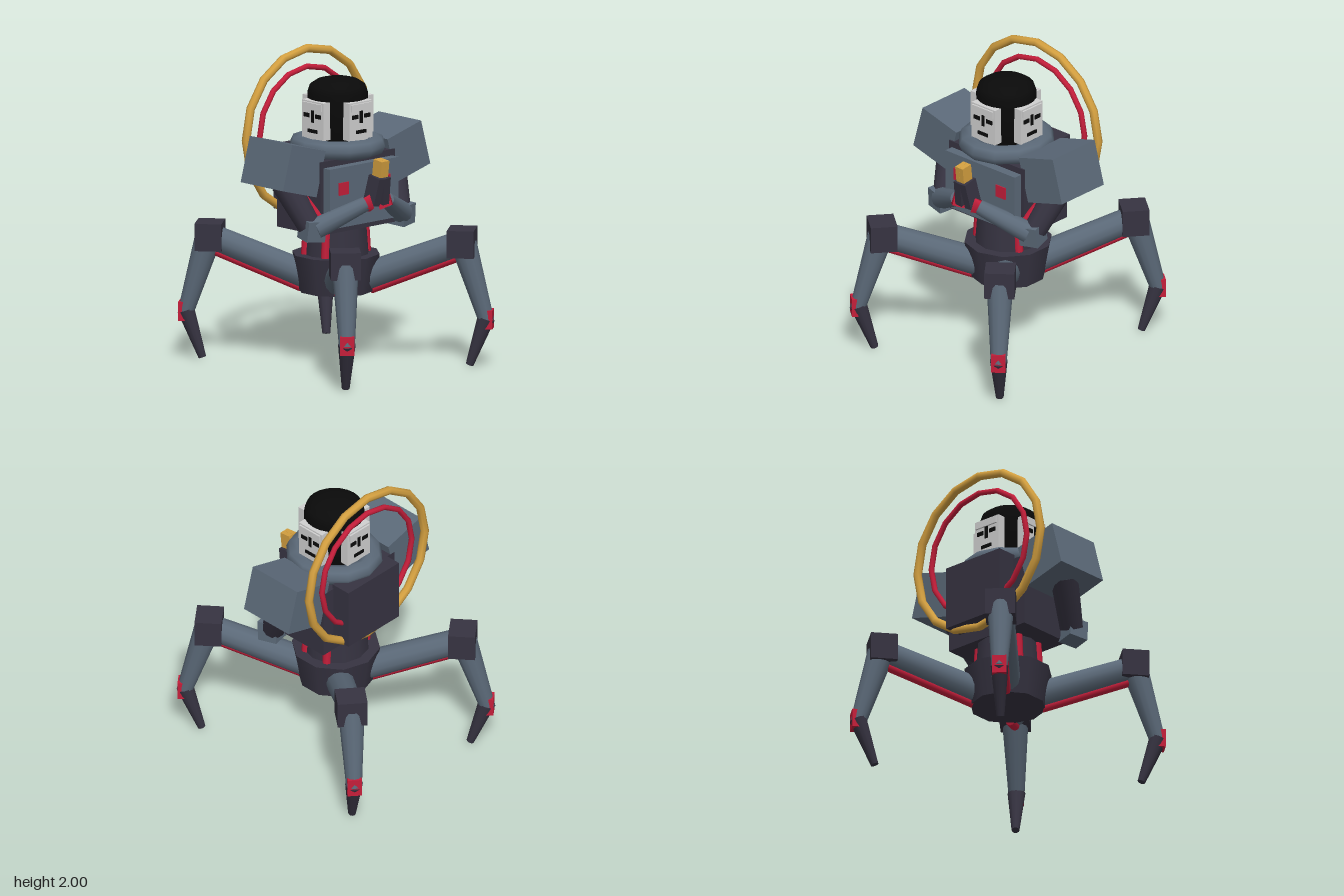
import * as THREE from 'three';

const mat = (name, color) => {
  const m = new THREE.MeshStandardMaterial({ color });
  m.name = name;
  return m;
};

export function createModel() {
  const slate = mat('slate armour', 0x5b6978);
  const dark = mat('dark metal', 0x363341);
  const red = mat('red', 0xc41e3a);
  const gold = mat('gold', 0xd4a040);
  const pale = mat('pale mask', 0xd0d0d0);
  const black = mat('black', 0x0a0a0a);

  const root = new THREE.Group();
  root.name = 'spiderWalker';

  const add = (parent, name, geo, material, pos = [0, 0, 0], rot = [0, 0, 0]) => {
    const m = new THREE.Mesh(geo, material);
    m.name = name;
    m.position.set(...pos);
    m.rotation.set(...rot);
    parent.add(m);
    return m;
  };
  const box = (parent, name, size, material, pos, rot) =>
    add(parent, name, new THREE.BoxGeometry(...size), material, pos, rot);
  // Tapered cylinder running from point a to point b
  const rod = (parent, name, a, b, ra, rb, material, sides = 12) => {
    const va = new THREE.Vector3(...a), vb = new THREE.Vector3(...b);
    const dir = vb.clone().sub(va);
    const m = add(parent, name, new THREE.CylinderGeometry(rb, ra, dir.length(), sides), material);
    m.position.copy(va).add(vb).multiplyScalar(0.5);
    m.quaternion.setFromUnitVectors(new THREE.Vector3(0, 1, 0), dir.normalize());
    return m;
  };

  // Pelvis and waist with four red pistons
  rod(root, 'pelvis', [0, 0.465, 0], [0, 0.705, 0], 0.24, 0.28, dark, 10);
  rod(root, 'waist', [0, 0.7, 0], [0, 0.9, 0], 0.21, 0.195, dark, 12);
  for (const x of [-1, 1]) for (const z of [-1, 1])
    rod(root, 'waistPiston', [x * 0.178, 0.69, z * 0.092], [x * 0.165, 0.9, z * 0.088], 0.028, 0.028, red, 8);

  // Torso, chest plate, backpack
  box(root, 'torso', [0.64, 0.47, 0.4], dark, [0, 1.12, 0]);
  box(root, 'chestPlate', [0.59, 0.385, 0.06], slate, [0, 1.122, 0.23]);
  for (const s of [-1, 1])
    box(root, 'chestLight', [0.08, 0.08, 0.02], red, [s * 0.18, 1.178, 0.258]);
  box(root, 'backpack', [0.455, 0.415, 0.14], dark, [0, 1.177, -0.26]);

  // Collar
  const collar = add(root, 'collar', new THREE.TorusGeometry(0.235, 0.065, 8, 12), slate,
    [0, 1.405, 0.015], [Math.PI / 2, 0, 0]);
  collar.scale.set(1, 1.06, 0.95);

  // Halo rings
  add(root, 'outerHalo', new THREE.TorusGeometry(0.522, 0.027, 8, 16), gold, [0, 1.452, -0.27]);
  add(root, 'innerHalo', new THREE.TorusGeometry(0.405, 0.018, 8, 16), red, [0, 1.452, -0.27]);

  // Head with the same mask on four sides
  const head = new THREE.Group();
  head.name = 'head';
  head.position.set(0, 0, 0.015);
  root.add(head);
  const profile = [[0, 1.38], [0.185, 1.38], [0.19, 1.74], [0.175, 1.785], [0.13, 1.815], [0.07, 1.83], [0, 1.834]];
  add(head, 'hair', new THREE.LatheGeometry(profile.map(p => new THREE.Vector2(...p)), 24), black);
  for (let i = 0; i < 4; i++) {
    const face = new THREE.Group();
    face.name = 'mask';
    face.rotation.y = i * Math.PI / 2;
    head.add(face);
    box(face, 'maskPlate', [0.2, 0.24, 0.06], pale, [0, 1.585, 0.185]);
    box(face, 'chin', [0.14, 0.05, 0.05], pale, [0, 1.45, 0.18]);
    box(face, 'brow', [0.175, 0.045, 0.015], pale, [0, 1.673, 0.219]);
    box(face, 'nose', [0.022, 0.08, 0.008], black, [0, 1.61, 0.217]);
    box(face, 'mouth', [0.085, 0.022, 0.008], black, [0, 1.515, 0.217]);
    for (const s of [-1, 1])
      box(face, 'eye', [0.05, 0.026, 0.008], black, [s * 0.052, 1.613, 0.217]);
  }

  // Arms, mirrored, meeting in front of the chest
  for (const s of [-1, 1]) {
    const arm = new THREE.Group();
    arm.name = s > 0 ? 'leftArm' : 'rightArm';
    root.add(arm);
    box(arm, 'shoulderPad', [0.3, 0.297, 0.39], slate, [s * 0.45, 1.317, -0.005], [0, 0, s * 0.27]);
    rod(arm, 'upperArm', [s * 0.46, 1.22, 0.02], [s * 0.385, 0.95, 0.17], 0.09, 0.075, dark);
    rod(arm, 'armPiston', [s * 0.39, 1.15, 0.1], [s * 0.32, 1.0, 0.19], 0.025, 0.025, red, 8);
    box(arm, 'elbow', [0.13, 0.13, 0.13], slate, [s * 0.383, 0.932, 0.19], [0.1, s * 0.25, s * 0.05]);
    rod(arm, 'forearm', [s * 0.37, 0.94, 0.21], [s * 0.09, 1.085, 0.37], 0.07, 0.048, slate);
    rod(arm, 'wristCuff', [s * 0.115, 1.075, 0.355], [s * 0.06, 1.085, 0.375], 0.045, 0.065, red, 4);
    box(arm, 'hand', [0.052, 0.18, 0.1], dark, [s * 0.032, 1.165, 0.385], [0.2, 0, s * 0.1]);
    box(arm, 'fingers', [0.032, 0.105, 0.078], gold, [s * 0.0165, 1.308, 0.412], [0.12, 0, 0]);
  }

  // Four legs, each built along local +x and turned into place
  for (const deg of [51, 129, 231, 309]) {
    const leg = new THREE.Group();
    leg.name = 'leg';
    leg.rotation.y = -deg * Math.PI / 180;
    root.add(leg);
    rod(leg, 'thigh', [0.2, 0.56, 0], [0.8, 0.79, 0], 0.09, 0.08, slate);
    rod(leg, 'thighPiston', [0.22, 0.475, 0], [0.76, 0.69, 0], 0.03, 0.03, red, 8);
    box(leg, 'knee', [0.17, 0.175, 0.19], dark, [0.8, 0.793, 0]);
    rod(leg, 'shin', [0.81, 0.78, 0], [0.955, 0.29, 0], 0.085, 0.05, slate);
    box(leg, 'ankle', [0.07, 0.12, 0.09], red, [0.962, 0.305, 0]);
    rod(leg, 'foot', [0.953, 0.31, 0], [0.848, 0.008, 0], 0.056, 0.025, dark);
  }
  return root;
}
